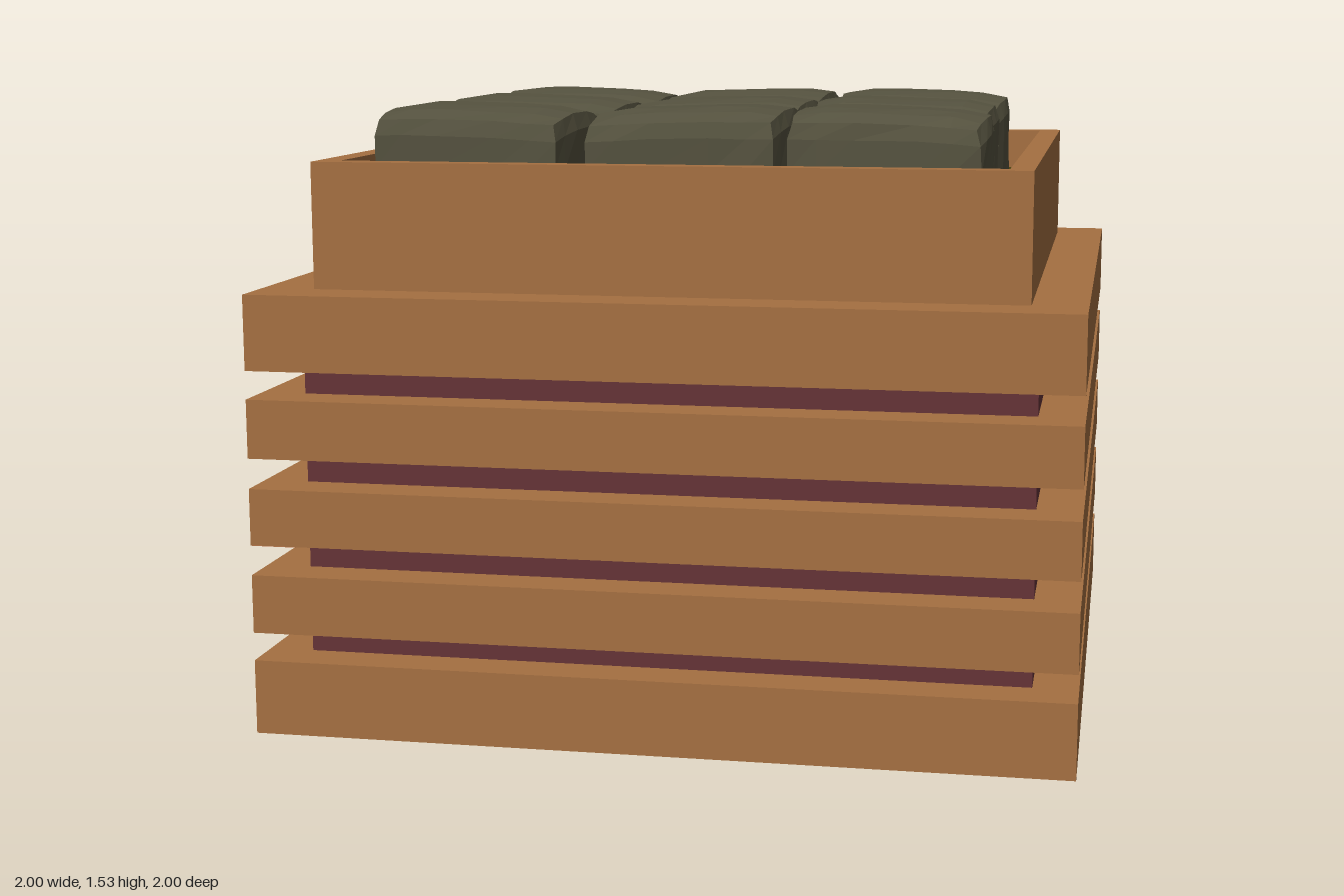
import * as THREE from 'three';

const mat = (name, color) => {
  const m = new THREE.MeshStandardMaterial({ color });
  m.name = name;
  return m;
};

export function createModel() {
  const model = new THREE.Group();
  model.name = 'stonePlanter';
  const wood = mat('wood', 0xa57041);
  const core = mat('dark red core', 0x653337);
  const base = mat('red brown base', 0xc47850);
  const soil = mat('olive soil', 0x4a420c);
  const stone = mat('grey green stone', 0x55523f);

  const add = (name, geometry, material, y = 0, parent = model) => {
    const mesh = new THREE.Mesh(geometry, material);
    mesh.name = name;
    mesh.position.y = y;
    parent.add(mesh);
    return mesh;
  };
  // square block spanning y0..y1
  const block = (name, half, y0, y1, material) =>
    add(name, new THREE.BoxGeometry(half * 2, y1 - y0, half * 2), material, (y0 + y1) / 2);

  // stacked slabs; the lowest one has a red brown underside
  const slabs = [[0, 0.185], [0.255, 0.4], [0.475, 0.615], [0.69, 0.835], [0.905, 1.09]];
  slabs.forEach(([y0, y1], i) => {
    block('slab' + (i + 1), 1, y0, y1, i ? wood : [wood, wood, wood, base, wood, wood]);
    if (i) block('recess' + i, 0.89, slabs[i - 1][1], y0, core);
  });

  // painted strip under the middle slab
  add('undersideStrip', new THREE.BoxGeometry(0.11, 0.003, 1.99), base, 0.474).position.x = -0.944;

  // open top frame
  const square = (Type, h) => new Type([[-h, -h], [h, -h], [h, h], [-h, h]].map(([x, y]) => new THREE.Vector2(x, y)));
  const outline = square(THREE.Shape, 0.868);
  outline.holes.push(square(THREE.Path, 0.81));
  const frame = new THREE.ExtrudeGeometry(outline, { depth: 0.31, bevelEnabled: false });
  frame.rotateX(-Math.PI / 2);
  add('topFrame', frame, wood, 1.09);
  block('soil', 0.81, 1.09, 1.29, soil);

  // repeatable noise from a position, in -1..1
  const noise = (x, y, z, seed) => {
    const s = Math.sin(x * 127.1 + y * 311.7 + z * 74.7 + seed * 53.3) * 43758.5453;
    return (s - Math.floor(s)) * 2 - 1;
  };

  // hewn stone: a box with bulged sides, worn top edges and a crowned top
  const stoneGeometry = (w, d, tilt, seed) => {
    const box = new THREE.BoxGeometry(2, 1, 2, 5, 3, 5);
    const p = box.attributes.position;
    for (let i = 0; i < p.count; i++) {
      let x = p.getX(i), z = p.getZ(i);
      const t = p.getY(i) + 0.5;
      const n = noise(Math.round(x * 10), Math.round(t * 10), Math.round(z * 10), seed);
      const top = t > 0.99;
      const edgeX = Math.abs(x) > 0.99, edgeZ = Math.abs(z) > 0.99;
      if (!edgeX) x = Math.sign(x) * Math.pow(Math.abs(x), 0.7);
      if (!edgeZ) z = Math.sign(z) * Math.pow(Math.abs(z), 0.7);
      const inset = top ? 0.945 : t > 0.6 ? 0.985 : 0.98;
      const sx = inset * (1 - 0.05 * z * z) + 0.012 * n;
      const sz = inset * (1 - 0.05 * x * x) - 0.012 * n;
      let y = [1.28, 1.38, 1.485, 1.532][Math.round(t * 3)];
      if (t > 0.6) y -= 0.024 * z * z + 0.006 * x * x - 0.01 * tilt * x + 0.004 * Math.abs(n);
      if (top && (edgeX || edgeZ)) y -= 0.008;
      p.setXYZ(i, x * sx * w / 2, y, z * sz * d / 2);
    }
    const flat = box.toNonIndexed();
    flat.computeVertexNormals();
    return flat;
  };

  const stones = new THREE.Group();
  stones.name = 'stones';
  model.add(stones);
  // centre x, centre z, width, depth
  const layout = [
    [-0.5, -0.54, 0.49, 0.5], [-0.015, -0.53, 0.49, 0.52], [0.49, -0.535, 0.49, 0.5],
    [-0.505, -0.015, 0.5, 0.51], [0, 0.005, 0.49, 0.52], [0.49, -0.015, 0.49, 0.51],
    [-0.51, 0.53, 0.49, 0.51], [0.02, 0.53, 0.49, 0.52], [0.51, 0.525, 0.49, 0.5],
  ];
  layout.forEach(([x, z, w, d], i) => {
    const tilt = [-0.6, 0.6, -0.6][i % 3];
    const mesh = add('stone' + (i + 1), stoneGeometry(w, d, tilt, i + 1), stone, 0, stones);
    mesh.position.set(x, 0, z);
  });

  return model;
}
